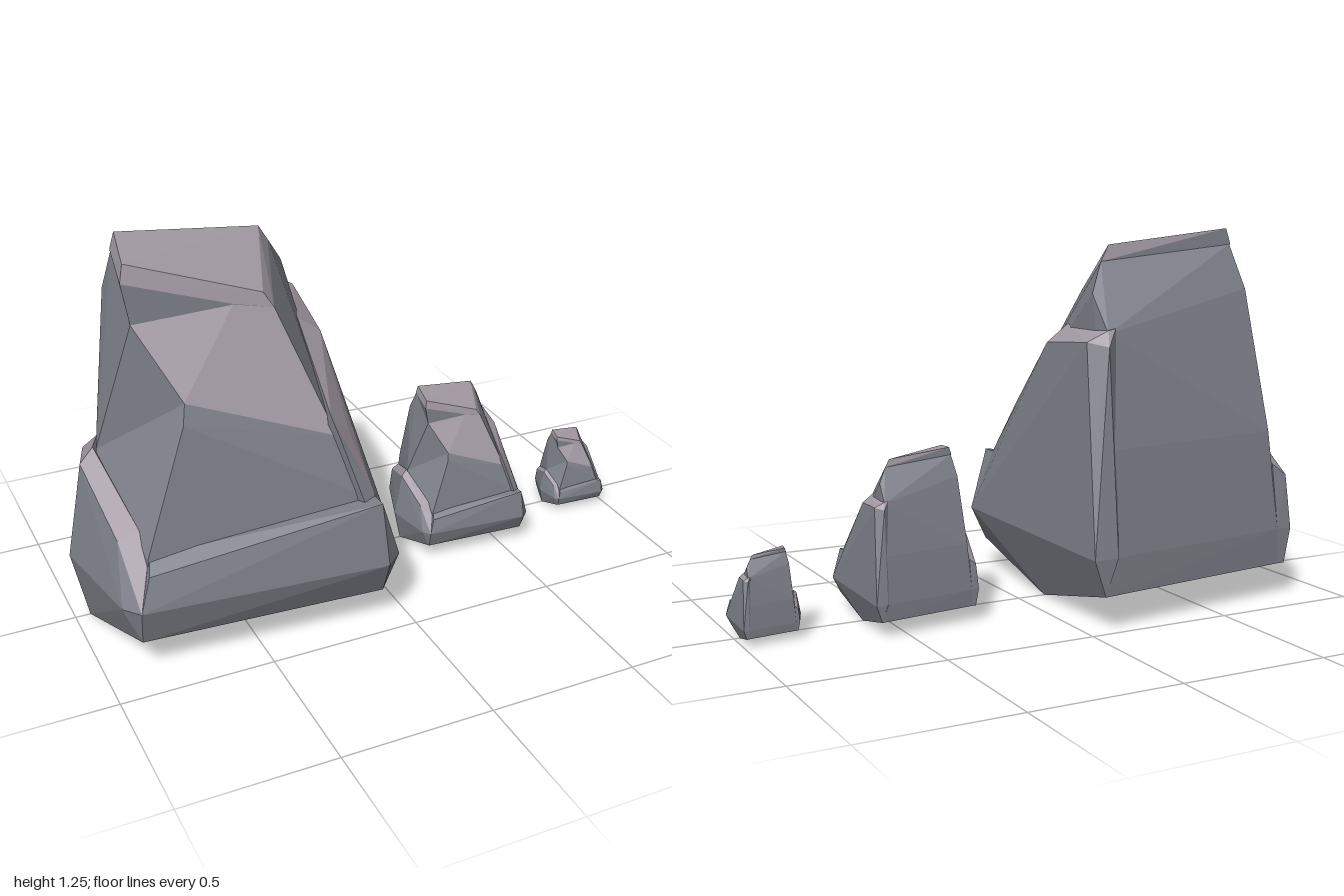
import * as THREE from 'three';
import { ConvexGeometry } from 'three/addons/geometries/ConvexGeometry.js';

// Each boulder is a cluster of faceted convex chunks, given by their corners.
// Facets within "limit" of the "pale" direction get the paler worn stone colour.
const chunks = {
  lowerBody: {
    pale: [0, 1, 0], limit: 1,
    corners: [
      [-0.93, 0, 0], [-0.1, 0, 0],
      [-0.8, 0.115, -0.385], [-0.055, 0.115, -0.485],
      [-0.8, 0.235, -0.385], [-0.03, 0.235, -0.485],
      [-0.785, 0.57, -0.34], [-0.09, 0.57, -0.43],
      [-0.88, 0.59, -0.02], [-0.67, 0.83, 0.26], [-0.685, 0.77, 0.285],
      [-0.2, 0.65, 0.325], [-0.84, 0.375, 0.345], [-0.12, 0.445, 0.39],
      [-0.86, 0.2, 0.37], [-0.1, 0.2, 0.42],
    ],
  },
  upperBody: {
    pale: [0, 0.5, 0.87], limit: 0.93,
    corners: [
      [-0.785, 0.57, -0.34], [-0.09, 0.57, -0.43], [-0.88, 0.59, -0.02],
      [-0.67, 0.83, 0.26], [-0.2, 0.65, 0.325],
      [-0.77, 1.05, -0.21], [-0.14, 0.93, -0.345], [-0.16, 1.05, -0.21],
      [-0.75, 1.2, -0.14], [-0.23, 1.15, -0.145],
      [-0.78, 1.05, 0.122], [-0.46, 1.07, 0.14], [-0.33, 1.04, 0.148],
    ],
  },
  rockCap: {
    pale: [0, 1, 0], limit: 0.15,
    corners: [
      [-0.785, 1.235, 0.095], [-0.74, 1.255, -0.135],
      [-0.265, 1.205, -0.135], [-0.36, 1.09, 0.135],
      [-0.8, 1.18, 0.112], [-0.755, 1.2, -0.14], [-0.23, 1.15, -0.145],
      [-0.33, 1.04, 0.148], [-0.46, 1.07, 0.141], [-0.78, 1.05, 0.122],
    ],
  },
  leftRidge: {
    pale: [0, 1, 0], limit: 0.4,
    corners: [
      [-0.1, 0, 0], [-0.3, 0.02, 0],
      [-0.055, 0.115, -0.485], [-0.09, 0.115, 0.435],
      [-0.1, 0.235, -0.485], [-0.015, 0.235, -0.485],
      [-0.03, 0.235, 0.43], [-0.09, 0.235, 0.475],
      [-0.1, 0.445, 0.392], [-0.08, 0.57, -0.43], [-0.045, 0.57, -0.41],
      [-0.07, 0.905, -0.33], [-0.12, 0.875, 0.02], [-0.14, 0.635, 0.285],
      [-0.125, 0.89, -0.378], [-0.14, 0.94, -0.345], [-0.17, 0.945, -0.34],
      [-0.2, 0.935, 0.02], [-0.22, 0.72, 0.325], [-0.2, 0.65, 0.348],
    ],
  },
  rightRidge: {
    pale: [0, 1, 0], limit: 0.42,
    corners: [
      [-0.95, 0, 0], [-0.7, 0.02, 0], [-1, 0.24, 0],
      [-0.8, 0.115, -0.385], [-0.8, 0.235, -0.385],
      [-0.83, 0.115, -0.385], [-0.855, 0.235, -0.385],
      [-0.885, 0.115, 0.385], [-0.935, 0.235, 0.36], [-0.89, 0.235, 0.415],
      [-0.94, 0.56, 0], [-0.89, 0.6, -0.02],
      [-0.91, 0.42, 0.27], [-0.84, 0.44, 0.27], [-0.84, 0.36, 0.34],
      [-0.84, 0.42, -0.37], [-0.79, 0.46, -0.36],
    ],
  },
  frontLedge: {
    pale: [0, 1, 0], limit: 1,
    corners: [
      [-0.93, 0, 0], [-0.1, 0, 0],
      [-0.885, 0.115, 0.385], [-0.09, 0.115, 0.435],
      [-0.89, 0.235, 0.415], [-0.09, 0.235, 0.485], [-0.03, 0.235, 0.43],
      [-0.85, 0.34, 0.385], [-0.1, 0.445, 0.45],
      [-0.83, 0.38, 0.33], [-0.1, 0.445, 0.392],
    ],
  },
};

const stone = new THREE.MeshStandardMaterial({ color: 0x7e8089, flatShading: true });
const paleStone = new THREE.MeshStandardMaterial({ color: 0xa39aa4, flatShading: true });

// Splits a convex chunk into its plain and pale facets
function splitFacets({ corners, pale, limit }) {
  const hull = new ConvexGeometry(corners.map((c) => new THREE.Vector3(...c)));
  const position = hull.getAttribute('position');
  const direction = new THREE.Vector3(...pale);
  const facets = [[], []];
  for (let i = 0; i < position.count; i += 3) {
    const triangle = [0, 1, 2].map((k) => new THREE.Vector3().fromBufferAttribute(position, i + k));
    const normal = new THREE.Triangle(...triangle).getNormal(new THREE.Vector3());
    facets[normal.dot(direction) > limit ? 1 : 0].push(...triangle);
  }
  return facets.map((points) => {
    const geometry = new THREE.BufferGeometry().setFromPoints(points);
    geometry.computeVertexNormals();
    return geometry;
  });
}

export function createModel() {
  const group = new THREE.Group();
  group.name = 'boulders';
  const parts = [];
  for (const [name, chunk] of Object.entries(chunks)) {
    const [plain, pale] = splitFacets(chunk);
    parts.push([name, plain, stone]);
    if (pale.getAttribute('position').count > 0) parts.push([name + 'WornFaces', pale, paleStone]);
  }

  // Three copies of the boulder, each about half the size of the previous one
  const copies = [
    ['largeBoulder', 1, 0],
    ['mediumBoulder', 0.444, 0.615],
    ['smallBoulder', 0.222, 1.003],
  ];
  for (const [name, scale, x] of copies) {
    const boulder = new THREE.Group();
    boulder.name = name;
    for (const [part, geometry, material] of parts) {
      const mesh = new THREE.Mesh(geometry, material);
      mesh.name = part;
      boulder.add(mesh);
    }
    boulder.scale.setScalar(scale);
    boulder.position.x = x;
    group.add(boulder);
  }
  return group;
}
